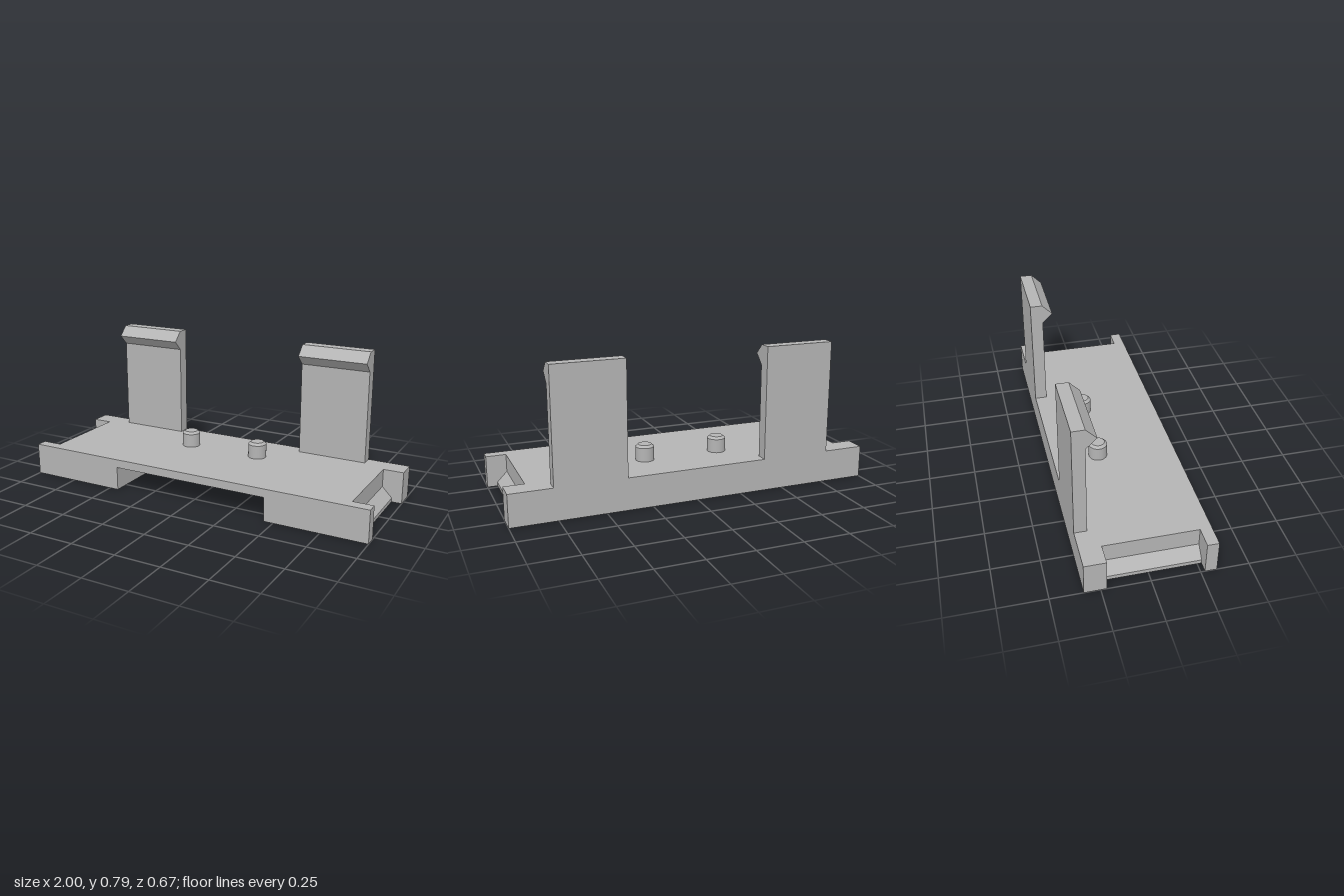
import * as THREE from 'three';

export function createModel() {
  const model = new THREE.Group();
  model.name = 'clipBracket';
  const grey = new THREE.MeshStandardMaterial({ color: 0xb4b4b4 });
  grey.name = 'plastic grey';

  const BACK = -0.333, FRONT = 0.333, TOP = 0.176;

  function add(name, geometry, parent = model) {
    const mesh = new THREE.Mesh(geometry, grey);
    mesh.name = name;
    parent.add(mesh);
    return mesh;
  }

  // Extrude an outline in x, y between two z positions
  function slice(name, points, z0, z1, parent) {
    const shape = new THREE.Shape(points.map(([x, y]) => new THREE.Vector2(x, y)));
    const geometry = new THREE.ExtrudeGeometry(shape, { depth: z1 - z0, bevelEnabled: false });
    geometry.translate(0, 0, z0);
    return add(name, geometry, parent);
  }

  // Right half of each outline, from bottom to top; the left half is mirrored
  const mirrored = half => [...half, ...half.map(([x, y]) => [-x, y]).reverse()];
  const square = [[1, 0], [1, TOP]];
  const notched = [[0.945, 0], [0.945, 0.022], [0.89, 0.078], [0.89, TOP]];
  const recess = [[0.447, 0.13], [0.447, 0]];

  // Base: end notches with sloped lower lips, and an underside recess open to the front
  const base = new THREE.Group();
  base.name = 'base';
  model.add(base);
  slice('backRail', mirrored(square), BACK, -0.22, base);
  slice('rearDeck', mirrored(notched), -0.22, -0.013, base);
  slice('frontDeck', mirrored([...recess, ...notched]), -0.013, 0.272, base);
  slice('frontRail', mirrored([...recess, ...square]), 0.272, FRONT, base);

  // Upright clip profile in z, y with a pointed hook facing forwards
  const clipProfile = [
    [BACK, TOP], [-0.267, TOP], [-0.267, 0.685],
    [-0.212, 0.739], [-0.267, 0.794], [BACK, 0.794],
  ];
  const clipWidth = 0.386;

  for (const [side, sign] of [['left', 1], ['right', -1]]) {
    const clipShape = new THREE.Shape(clipProfile.map(([z, y]) => new THREE.Vector2(-z, y)));
    const clip = new THREE.ExtrudeGeometry(clipShape, { depth: clipWidth, bevelEnabled: false });
    clip.translate(0, 0, -clipWidth / 2);
    clip.rotateY(Math.PI / 2);
    add(side + 'Clip', clip).position.x = sign * 0.58 - 0.002;

    // Locating peg with a chamfered tip
    const peg = new THREE.Group();
    peg.name = side + 'Peg';
    peg.position.set(sign * 0.211 - 0.003, TOP, -0.087);
    model.add(peg);
    add('pegBody', new THREE.CylinderGeometry(0.05, 0.05, 0.075, 40, 1, true), peg).position.y = 0.0375;
    add('pegTip', new THREE.CylinderGeometry(0.036, 0.05, 0.013, 40), peg).position.y = 0.0815;
  }
  return model;
}
